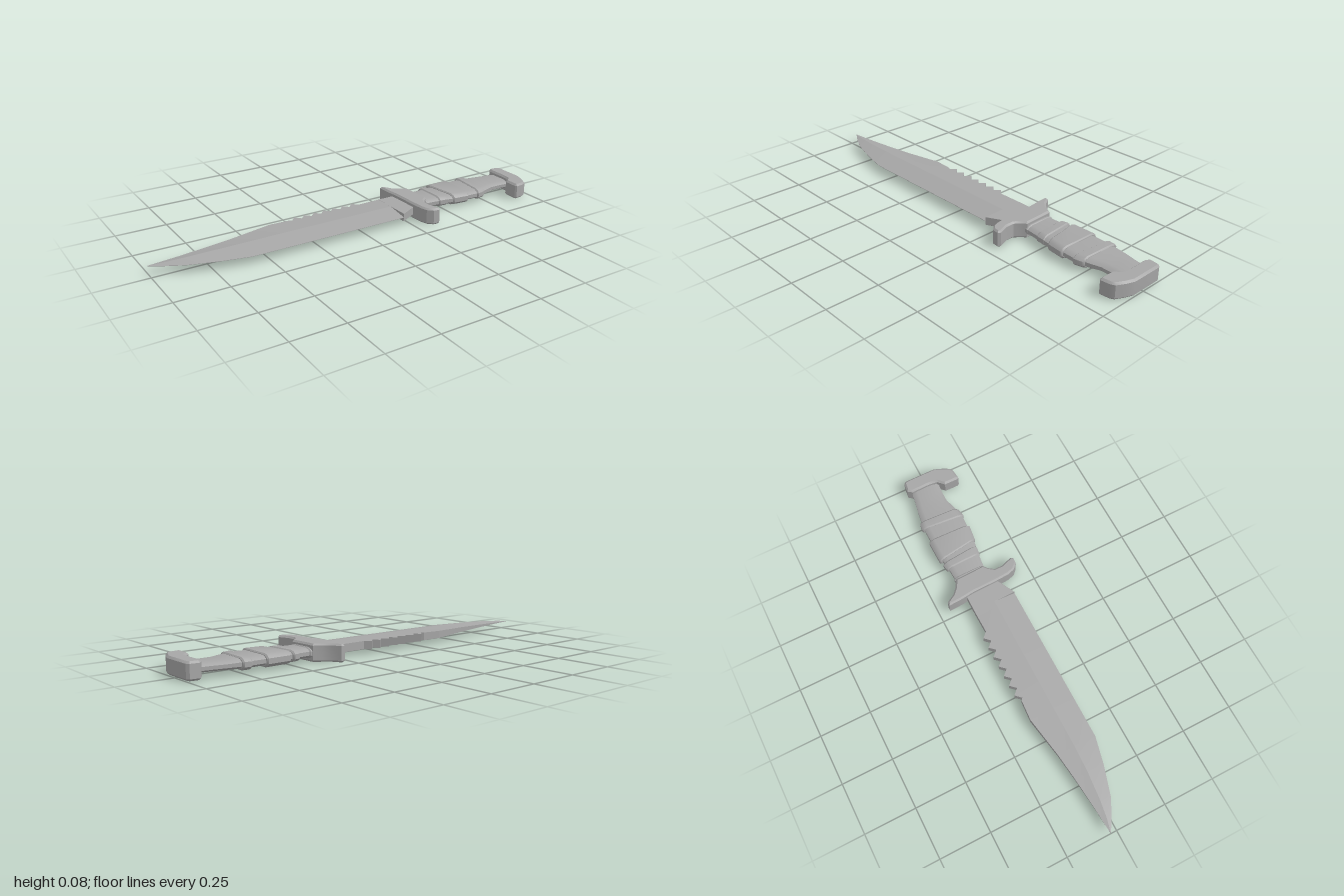
import * as THREE from 'three';
import { toCreasedNormals } from 'three/addons/utils/BufferGeometryUtils.js';

const MID = 0.041; // height of the knife's centre plane
const steel = new THREE.MeshStandardMaterial({ color: 0xa6a6a6 });
steel.name = 'grey steel';

function addMesh(group, name, geometry, crease) {
  const mesh = new THREE.Mesh(toCreasedNormals(geometry, crease), steel);
  mesh.name = name;
  group.add(mesh);
}

// Skin a row of rings (equal point counts, running toward +x) and cap both ends
function loft(rings) {
  const n = rings[0].length, index = [];
  for (let i = 0; i < rings.length - 1; i++) {
    for (let j = 0; j < n; j++) {
      const k = (j + 1) % n;
      const a = i * n + j, b = i * n + k, c = b + n, d = a + n;
      index.push(a, b, c, a, c, d);
    }
  }
  const last = (rings.length - 1) * n;
  for (let j = 1; j < n - 1; j++) {
    index.push(0, j + 1, j, last, last + j, last + j + 1);
  }
  const g = new THREE.BufferGeometry();
  g.setAttribute('position', new THREE.Float32BufferAttribute(rings.flat(2), 3));
  g.setIndex(index);
  return g;
}

// Blade section: flat spine, flat upper half, bevel from ridge to edge
function bladeRing([x, back, ridge, edge, hBack, hRidge]) {
  return [
    [x, MID + hBack, back], [x, MID + hRidge, ridge], [x, MID + 0.0008, edge],
    [x, MID - 0.0008, edge], [x, MID - hRidge, ridge], [x, MID - hBack, back],
  ];
}

// Rounded-flat grip section; skew slants the ring along x
function gripRing(x, z0, z1, h, skew = 0) {
  const c = 0.028, mid = (z0 + z1) / 2;
  const p = [
    [z0, 0.4], [z0 + c * 0.4, 0.78], [z0 + c, 1], [z1 - c, 1], [z1 - c * 0.4, 0.78], [z1, 0.4],
  ];
  const ring = [...p, ...p.slice().reverse().map(([z, f]) => [z, -f])];
  return ring.map(([z, f]) => [x + skew * (z - mid), MID + f * h, z]);
}

// Bevelled plate cut from an outline of (x, z) points
function plate(points, height, bevel) {
  const shape = new THREE.Shape(points.map(([x, z]) => new THREE.Vector2(x, z)));
  const g = new THREE.ExtrudeGeometry(shape, {
    depth: height - 2 * bevel, bevelEnabled: true, bevelSegments: 1,
    bevelSize: bevel, bevelThickness: bevel, bevelOffset: -bevel,
  });
  g.rotateX(Math.PI / 2);
  g.translate(0, MID + height / 2 - bevel, 0);
  return g;
}

export function createModel() {
  const knife = new THREE.Group();
  knife.name = 'knife';

  // Blade: tip to clip point
  const stations = [
    [-1, -0.036, -0.035, -0.034, 0.0008, 0.001],
    [-0.94, -0.041, -0.02, 0.004, 0.002, 0.006],
    [-0.86, -0.047, -0.008, 0.045, 0.004, 0.011],
    [-0.72, -0.061, 0.004, 0.088, 0.008, 0.017],
    [-0.59, -0.077, 0.008, 0.118, 0.012, 0.019],
    [-0.39, -0.112, 0.008, 0.118, 0.018, 0.02],
    [-0.29, -0.105, 0.008, 0.118, 0.019, 0.02],
  ];
  // Saw teeth along the spine
  const teeth = 7, pitch = 0.37 / teeth;
  for (let i = 0; i < teeth; i++) {
    const x = -0.28 + i * pitch;
    stations.push([x, -0.096, 0.008, 0.118, 0.019, 0.02]);
    stations.push([x + pitch / 2, -0.124, 0.008, 0.118, 0.019, 0.02]);
  }
  stations.push([0.09, -0.098, 0.008, 0.118, 0.019, 0.02]);
  stations.push([0.21, -0.1, 0.008, 0.118, 0.019, 0.02]);
  addMesh(knife, 'blade', loft(stations.map(bladeRing)), 0.12);

  // Full-thickness block between blade and guard
  addMesh(knife, 'ricasso', plate(
    [[0.208, -0.1], [0.32, -0.1], [0.32, 0.06], [0.21, 0.117]], 0.04, 0.001), 0.3);

  // Cross guard
  addMesh(knife, 'guard', plate([
    [0.283, -0.196], [0.302, -0.196], [0.325, -0.155], [0.355, -0.128], [0.392, -0.108],
    [0.397, 0.04], [0.375, 0.058], [0.355, 0.085], [0.355, 0.125], [0.374, 0.18],
    [0.366, 0.193], [0.335, 0.19], [0.31, 0.165], [0.3, 0.13], [0.296, 0.06],
    [0.294, -0.06], [0.286, -0.13],
  ], 0.082, 0.008), 0.5);

  // Grip core
  addMesh(knife, 'gripCore', loft([
    gripRing(0.38, -0.105, 0.045, 0.022),
    gripRing(0.47, -0.11, 0.055, 0.022),
    gripRing(0.56, -0.122, 0.07, 0.023),
    gripRing(0.7, -0.124, 0.078, 0.023),
    gripRing(0.77, -0.118, 0.062, 0.022),
    gripRing(0.82, -0.112, 0.047, 0.02),
    gripRing(0.88, -0.1, 0.047, 0.02),
    gripRing(0.95, -0.09, 0.055, 0.02),
  ]), 0.6);

  // Raised wraps: start, end, back z, front z at each end, half height, slants
  const wraps = [
    [0.392, 0.41, -0.112, 0.05, -0.112, 0.05, 0.025, 0, 0],
    [0.468, 0.512, -0.122, 0.06, -0.126, 0.064, 0.027, 0.02, 0.09],
    [0.535, 0.642, -0.133, 0.075, -0.135, 0.084, 0.03, 0.14, -0.03],
    [0.707, 0.755, -0.135, 0.085, -0.132, 0.076, 0.028, -0.09, -0.05],
  ];
  for (const [x0, x1, a0, b0, a1, b1, h, s0, s1] of wraps) {
    const e = 0.006;
    addMesh(knife, 'gripWrap', loft([
      gripRing(x0, a0 + e, b0 - e, h - 0.005, s0),
      gripRing(x0 + e, a0, b0, h, s0),
      gripRing(x1 - e, a1, b1, h, s1),
      gripRing(x1, a1 + e, b1 - e, h - 0.005, s1),
    ]), 0.6);
  }

  // Hooked pommel
  addMesh(knife, 'pommel', plate([
    [0.928, -0.09], [0.945, -0.113], [0.99, -0.108], [1.0, -0.095], [1.0, 0.06],
    [0.985, 0.1], [0.965, 0.138], [0.945, 0.148], [0.9, 0.153], [0.893, 0.145],
    [0.894, 0.075], [0.91, 0.06], [0.925, 0.045], [0.93, 0.0],
  ], 0.08, 0.009), 0.5);

  return knife;
}
